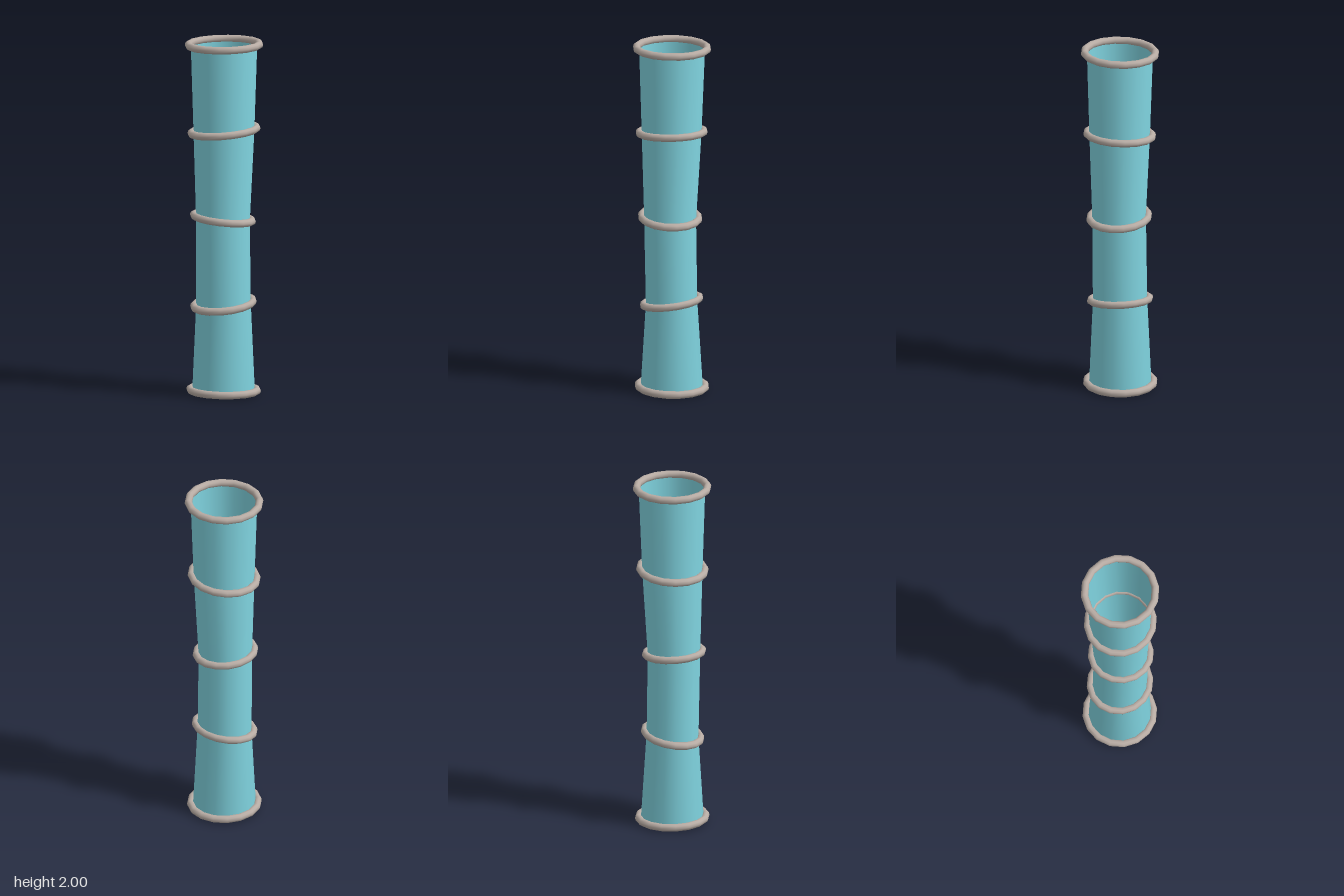
import * as THREE from 'three';

const SIDES = 16;
const TUBE = 0.021;

// Hoops from top to bottom: height, radii, centre offset, tilt slopes along x and z
const HOOPS = [
  { y: 1.975, rx: 0.198, rz: 0.198, cx: 0, cz: 0.001, sx: 0.02, sz: 0.007 },
  { y: 1.491, rx: 0.183, rz: 0.181, cx: 0.001, cz: 0.003, sx: 0.08, sz: -0.035 },
  { y: 0.999, rx: 0.164, rz: 0.159, cx: -0.001, cz: 0.012, sx: -0.08, sz: 0.055 },
  { y: 0.514, rx: 0.167, rz: 0.157, cx: -0.002, cz: 0.004, sx: 0.048, sz: -0.135 },
  { y: 0.027, rx: 0.187, rz: 0.187, cx: -0.002, cz: 0.002, sx: -0.007, sz: 0.018 },
];
const WALL_INSET = 0.0125;

// Tilted, slightly oval hoop
function makeHoop(h, material) {
  const geo = new THREE.TorusGeometry(h.rx, TUBE, 10, SIDES);
  geo.rotateX(Math.PI / 2);
  geo.scale(1, 1, h.rz / h.rx);
  const p = geo.attributes.position;
  for (let i = 0; i < p.count; i++) {
    const x = p.getX(i), z = p.getZ(i);
    p.setXYZ(i, x + h.cx, p.getY(i) + h.y + h.sx * x + h.sz * z, z + h.cz);
  }
  return new THREE.Mesh(geo, material);
}

// Open sleeve: each ring of a cylinder is fitted to its hoop
function makeSleeve(material) {
  const geo = new THREE.CylinderGeometry(1, 1, 1, SIDES, HOOPS.length - 1, true);
  const p = geo.attributes.position;
  for (let i = 0; i < p.count; i++) {
    const h = HOOPS[Math.floor(i / (SIDES + 1))];
    const x = p.getX(i) * (h.rx - WALL_INSET);
    const z = p.getZ(i) * (h.rz - WALL_INSET);
    p.setXYZ(i, x + h.cx, h.y + h.sx * x + h.sz * z, z + h.cz);
  }
  // The cylinder's radial normals stay, keeping the wall smooth across its seam
  return new THREE.Mesh(geo, material);
}

export function createModel() {
  const model = new THREE.Group();
  model.name = 'hoopedTube';

  const cloth = new THREE.MeshStandardMaterial({ color: 0x80d4e0, side: THREE.DoubleSide });
  const hoopMaterial = new THREE.MeshStandardMaterial({ color: 0xb8aca4 });

  const sleeve = makeSleeve(cloth);
  sleeve.name = 'sleeve';
  model.add(sleeve);

  HOOPS.forEach((h, i) => {
    const hoop = makeHoop(h, hoopMaterial);
    hoop.name = `hoop${i + 1}`;
    model.add(hoop);
  });
  return model;
}
